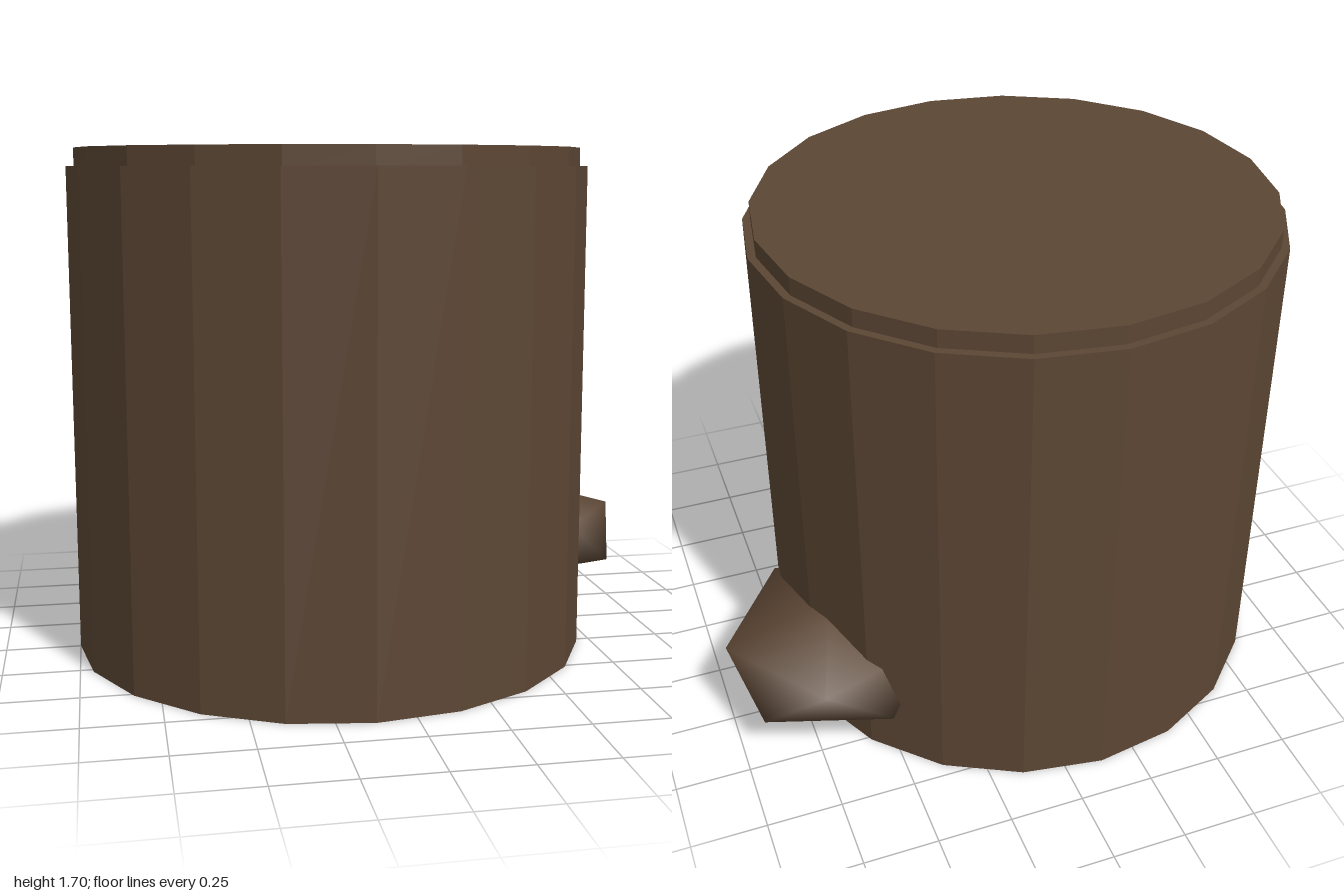
import * as THREE from 'three';

// Squashed 12-point knob: two poles and two staggered five-point rings, smooth shaded
function knobGeometry(radius, halfHeight) {
  const points = [0, halfHeight, 0];
  for (const side of [1, -1]) {
    for (let i = 0; i < 5; i++) {
      const a = (i * 2 + (side < 0 ? 1 : 0)) * Math.PI / 5;
      points.push(radius * Math.cos(a), side * halfHeight / Math.sqrt(5), radius * Math.sin(a));
    }
  }
  points.push(0, -halfHeight, 0);
  const index = [];
  for (let i = 0; i < 5; i++) {
    const j = (i + 1) % 5;
    const u = 1 + i, un = 1 + j, l = 6 + i, ln = 6 + j;
    index.push(0, un, u, u, un, l, un, ln, l, 11, l, ln);
  }
  const geometry = new THREE.BufferGeometry();
  geometry.setAttribute('position', new THREE.Float32BufferAttribute(points, 3));
  geometry.setIndex(index);
  geometry.computeVertexNormals();
  return geometry;
}

export function createModel() {
  const model = new THREE.Group();
  model.name = 'stump';
  const bark = new THREE.MeshStandardMaterial({ color: 0x5c4634 });
  bark.name = 'brown bark';
  bark.flatShading = true;
  const knobBark = new THREE.MeshStandardMaterial({ color: 0x5c4634 });
  knobBark.name = 'smooth brown bark';

  const add = (name, geometry, material, x, y, z) => {
    const mesh = new THREE.Mesh(geometry, material);
    mesh.name = name;
    mesh.position.set(x, y, z);
    model.add(mesh);
  };

  // Faceted trunk with a slightly narrower cut top
  add('trunk', new THREE.CylinderGeometry(0.872, 0.872, 1.64, 20), bark, -0.128, 0.82, 0);
  add('cutTop', new THREE.CylinderGeometry(0.846, 0.846, 0.08, 20), bark, -0.128, 1.66, 0);

  // Knob growing from the lower left side
  add('knob', knobGeometry(0.362, 0.188), knobBark, 0.638, 0.275, -0.277);
  return model;
}
